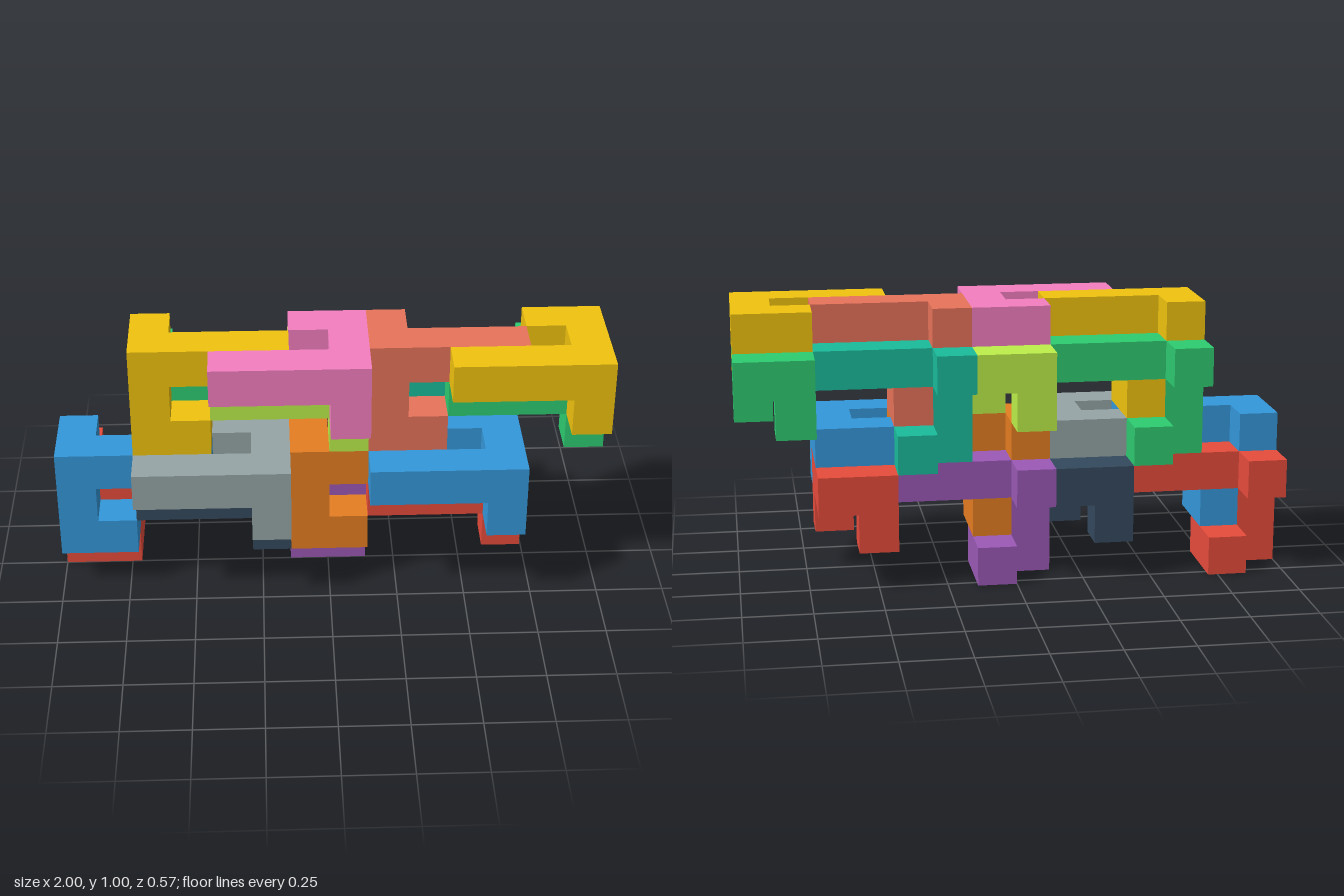
import * as THREE from 'three';
import { mergeGeometries } from 'three/addons/utils/BufferGeometryUtils.js';

const U = 1 / 7; // edge of one cube cell

// One puzzle piece, in cells, centred on its corner cell: a hook-shaped slab with two side studs
function pieceGeometry() {
  const outline = [[0, 0], [4, 0], [4, 1], [1, 1], [1, 2], [2, 2], [2, 3], [0, 3]];
  const shape = new THREE.Shape(outline.map(([x, y]) => new THREE.Vector2(x - 0.5, y - 0.5)));
  const hook = new THREE.ExtrudeGeometry(shape, { depth: 1, bevelEnabled: false }).translate(0, 0, -0.5);
  const stud = (x, y) => new THREE.BoxGeometry(1, 1, 1).translate(x, y, 1).toNonIndexed();
  return mergeGeometries([hook, stud(0, 0), stud(1, 2)]).scale(U, U, U);
}

// Orientation from the directions of the long arm, the hook and the studs
function orientation(arm, hook, stud) {
  const m = new THREE.Matrix4().makeBasis(
    new THREE.Vector3(...arm), new THREE.Vector3(...hook), new THREE.Vector3(...stud));
  return new THREE.Quaternion().setFromRotationMatrix(m);
}

export function createModel() {
  const model = new THREE.Group();
  model.name = 'interlockingBlocks';
  const geometry = pieceGeometry();
  const upright = orientation([1, 0, 0], [0, -1, 0], [0, 0, -1]);
  const flat = orientation([-1, 0, 0], [0, 0, -1], [0, -1, 0]);

  // Corner cell of each piece in a layer, with its upper and lower layer colours
  const pieces = [
    ['frontUprightHookRight', upright, [2, 6, 2], 0xf1c40f, 0x3498db],
    ['frontFlatHookRight', flat, [7, 6, 3], 0xf47ec0, 0x95a5a6],
    ['backUprightHookRight', upright, [2, 5, 1], 0x2ecc71, 0xe74c3c],
    ['backFlatHookRight', flat, [7, 5, 2], 0xbdf04a, 0x34495e],
    ['frontUprightHookLeft', upright, [8, 6, 2], 0xe8735a, 0xe67e22],
    ['frontFlatHookLeft', flat, [13, 6, 3], 0xf1c40f, 0x3498db],
    ['backUprightHookLeft', upright, [8, 5, 1], 0x1abc9c, 0x9b59b6],
    ['backFlatHookLeft', flat, [13, 5, 2], 0x2ecc71, 0xe74c3c],
  ];

  // The lower layer repeats the upper one, two cells across and three down
  ['upperLayer', 'lowerLayer'].forEach((layerName, n) => {
    const layer = new THREE.Group();
    layer.name = layerName;
    layer.position.set(-2 * U * n, -3 * U * n, 0);
    for (const [name, turn, [i, j, k], ...colors] of pieces) {
      const mesh = new THREE.Mesh(geometry, new THREE.MeshStandardMaterial({ color: colors[n] }));
      mesh.name = name;
      mesh.quaternion.copy(turn);
      mesh.position.set((i - 6.5) * U, (j + 0.5) * U, (k - 1.5) * U);
      layer.add(mesh);
    }
    model.add(layer);
  });
  return model;
}
